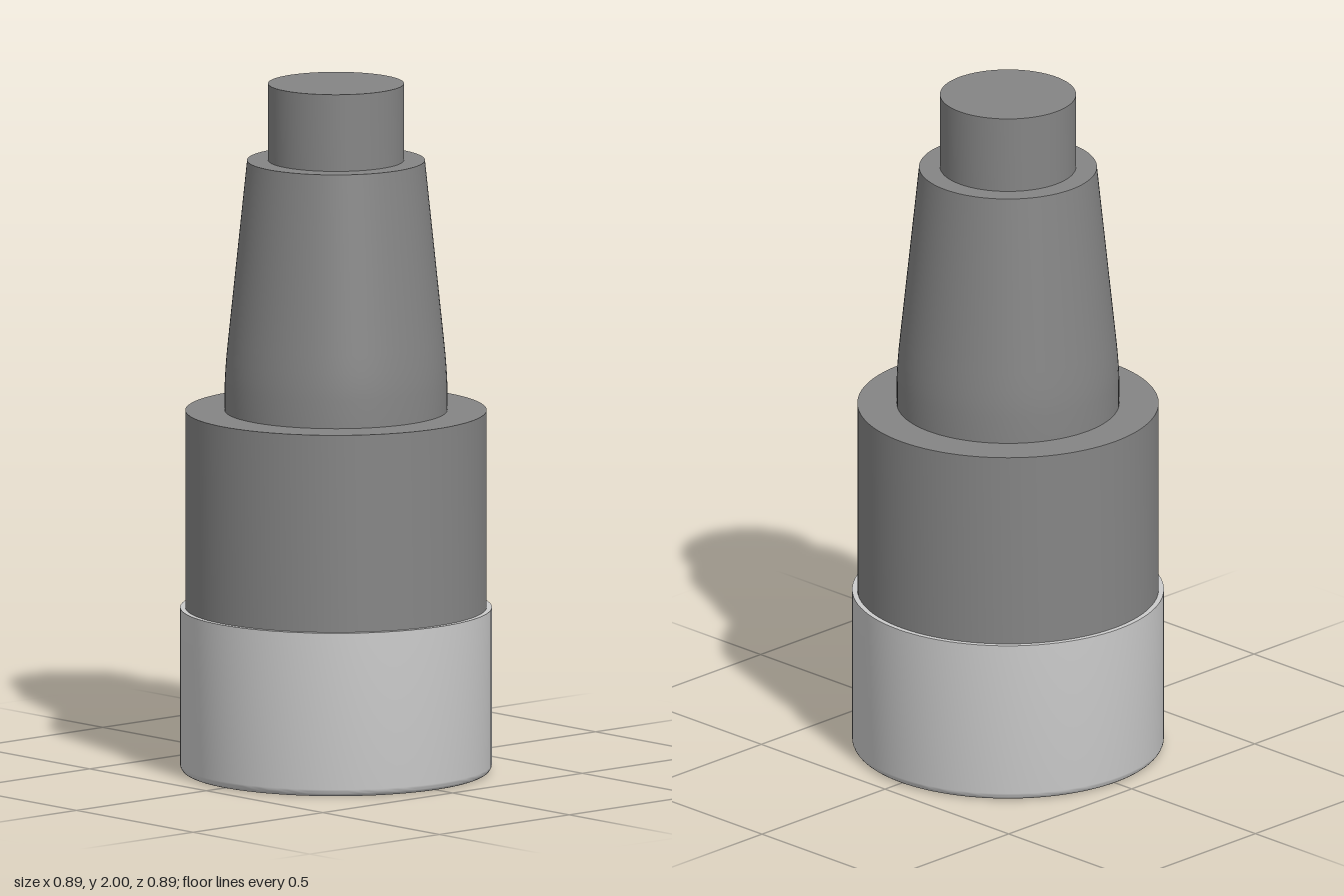
import * as THREE from 'three';
import { toCreasedNormals } from 'three/addons/utils/BufferGeometryUtils.js';

const light = new THREE.MeshStandardMaterial({ color: 0xcccccc });
const dark = new THREE.MeshStandardMaterial({ color: 0x858585 });

// Solid of revolution from [radius, height] pairs, bottom to top, with crisp rims
function turned(name, profile, material) {
  const points = profile.map(([r, y]) => new THREE.Vector2(r, y));
  const geometry = toCreasedNormals(new THREE.LatheGeometry(points, 96), 0.6);
  const mesh = new THREE.Mesh(geometry, material);
  mesh.name = name;
  return mesh;
}

export function createModel() {
  const group = new THREE.Group();
  group.name = 'steppedPlug';

  // Pale base cap with a rounded bottom edge
  const R = 0.447, fillet = 0.022;
  const base = [[0, 0]];
  for (let i = 0; i <= 6; i++) {
    const a = (i / 6) * Math.PI / 2;
    base.push([R - fillet + fillet * Math.sin(a), fillet - fillet * Math.cos(a)]);
  }
  base.push([R, 0.477], [0, 0.477]);
  group.add(turned('baseCap', base, light));

  // Main cylindrical body
  group.add(turned('body', [[0.432, 0.477], [0.432, 1.05], [0, 1.05]], dark));

  // Neck: short straight foot easing into a long taper
  group.add(turned('taperedNeck', [
    [0.319, 1.05], [0.319, 1.13], [0.317, 1.17], [0.314, 1.21], [0.309, 1.26],
    [0.255, 1.777], [0, 1.777],
  ], dark));

  // Stem on top
  group.add(turned('stem', [[0.195, 1.777], [0.195, 2], [0, 2]], dark));

  return group;
}
